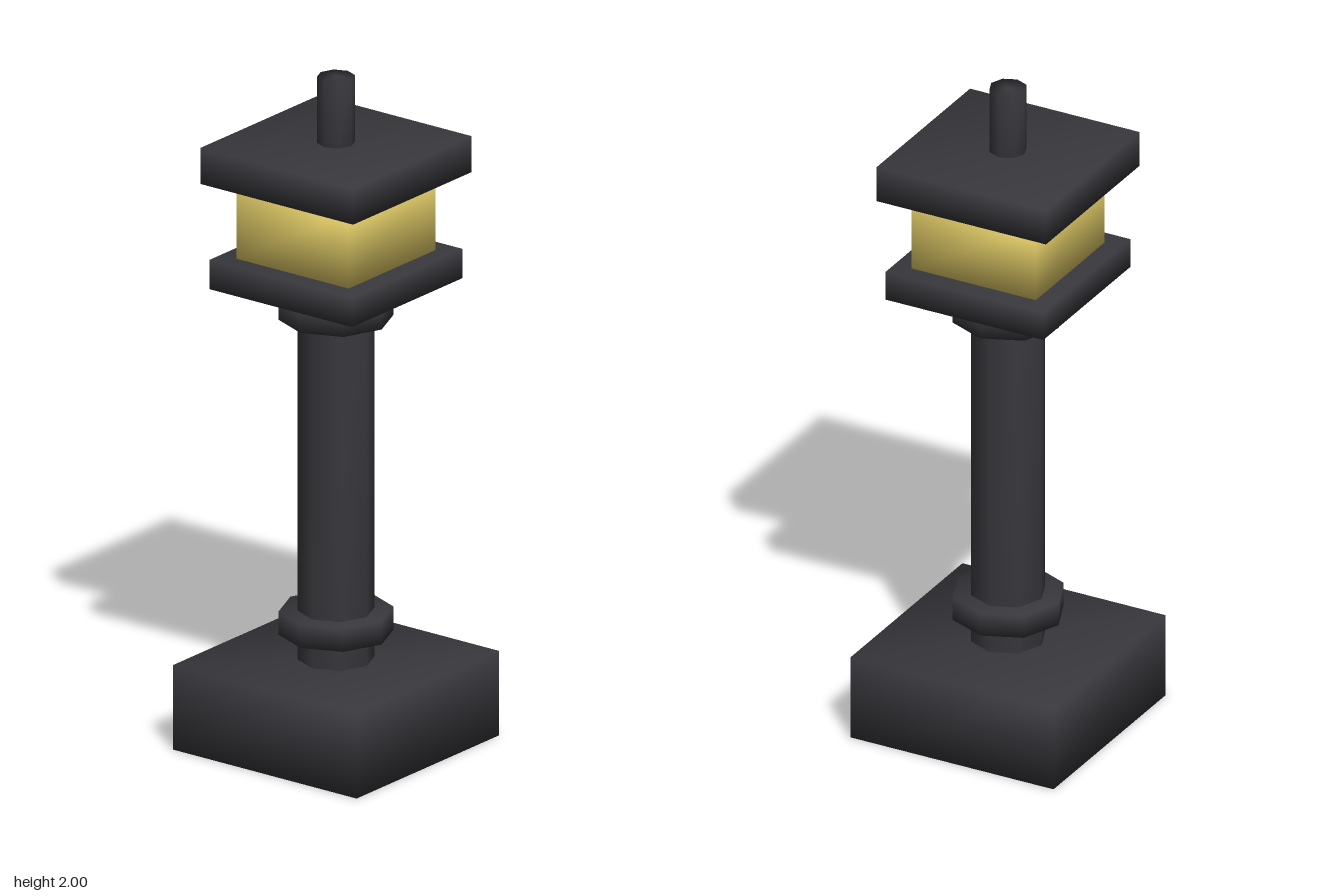
import * as THREE from 'three';
import { mergeVertices } from 'three/addons/utils/BufferGeometryUtils.js';

const iron = new THREE.MeshStandardMaterial({ color: 0x38373c });
const glow = new THREE.MeshStandardMaterial({ color: 0xe8d26a });

// Weld shared corners so shading flows smoothly over every edge
function soften(geometry) {
  geometry.deleteAttribute('normal');
  geometry.deleteAttribute('uv');
  const welded = mergeVertices(geometry, 1e-4);
  welded.computeVertexNormals();
  return welded;
}

export function createModel() {
  const group = new THREE.Group();

  const add = (name, geometry, y0, y1, material) => {
    const mesh = new THREE.Mesh(soften(geometry), material);
    mesh.name = name;
    mesh.position.y = (y0 + y1) / 2;
    group.add(mesh);
  };
  const block = (name, width, y0, y1, material = iron) =>
    add(name, new THREE.BoxGeometry(width, y1 - y0, width), y0, y1, material);
  // Eight-sided round part
  const round = (name, radius, y0, y1) =>
    add(name, new THREE.CylinderGeometry(radius, radius, y1 - y0, 8), y0, y1, iron);

  // Base and column with its two collars
  block('base', 0.654, 0, 0.254);
  round('column', 0.109, 0.254, 1.38);
  round('lowerCollar', 0.163, 0.331, 0.401);
  round('upperCollar', 0.163, 1.276, 1.348);

  // Lantern head
  block('lanternTray', 0.508, 1.377, 1.465);
  block('lanternGlass', 0.4, 1.465, 1.694, glow);
  block('lanternRoof', 0.545, 1.694, 1.802);
  round('finial', 0.0545, 1.802, 2);

  return group;
}
